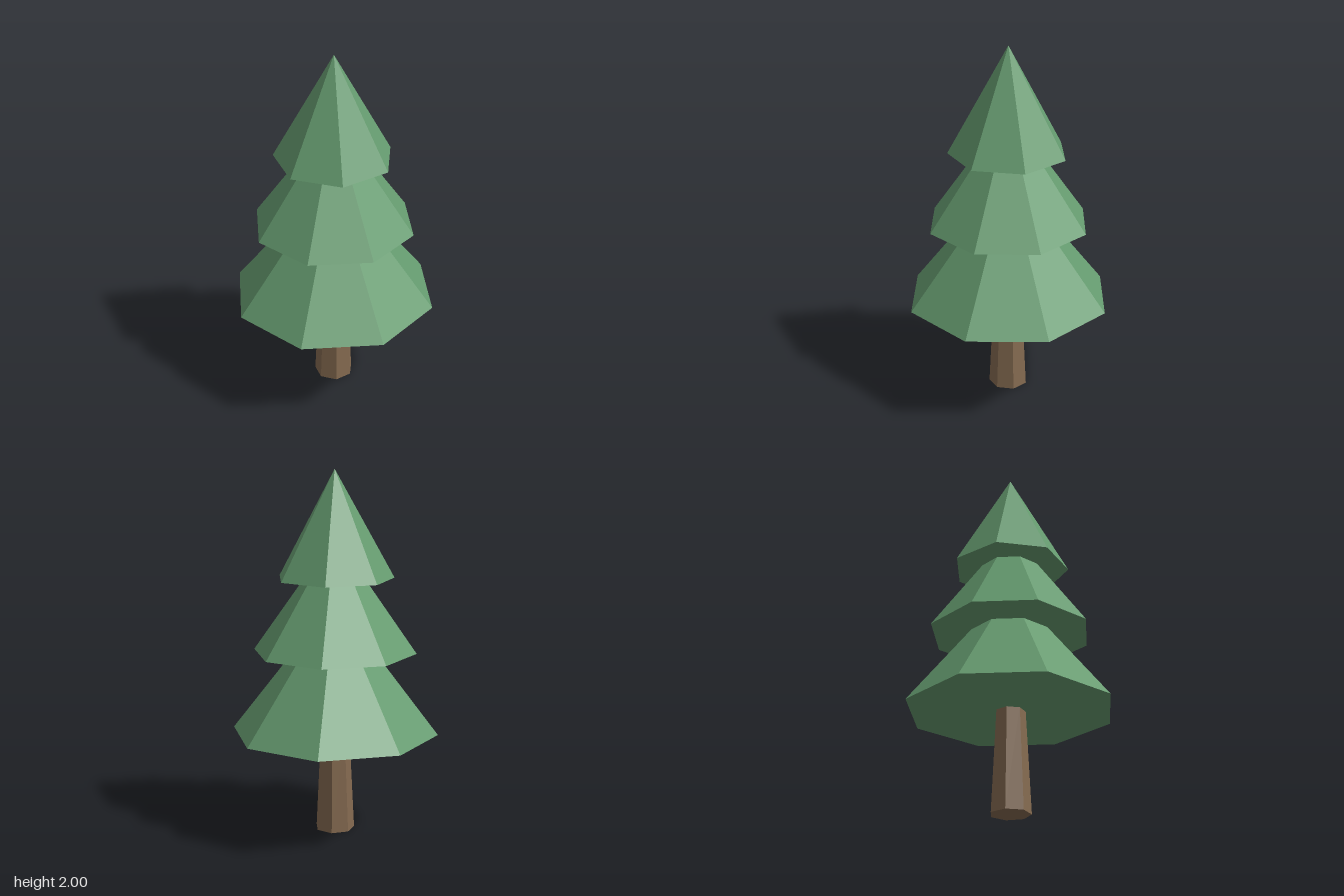
import * as THREE from 'three';

export function createModel() {
  const tree = new THREE.Group();
  tree.name = 'pineTree';

  const leafGreen = new THREE.MeshStandardMaterial({ color: 0x669c70 });
  leafGreen.name = 'leafGreen';
  const barkBrown = new THREE.MeshStandardMaterial({ color: 0x846a50 });
  barkBrown.name = 'barkBrown';

  // Faceted upright part with one corner pointing to the back
  function addPart(name, geometry, material, bottom) {
    const flat = geometry.toNonIndexed();
    flat.computeVertexNormals();
    const mesh = new THREE.Mesh(flat, material);
    mesh.name = name;
    mesh.position.y = bottom + geometry.parameters.height / 2;
    mesh.rotation.y = Math.PI;
    tree.add(mesh);
  }

  // Tapered seven-sided trunk
  addPart('trunk', new THREE.CylinderGeometry(0.081, 0.11, 0.57, 7), barkBrown, 0);

  // Overlapping foliage cones: name, radius, bottom, apex, sides
  const tiers = [
    ['lowerFoliage', 0.572, 0.562, 1.3, 8],
    ['middleFoliage', 0.449, 1.013, 1.65, 8],
    ['topFoliage', 0.325, 1.416, 2, 7],
  ];
  for (const [name, radius, bottom, apex, sides] of tiers) {
    addPart(name, new THREE.ConeGeometry(radius, apex - bottom, sides), leafGreen, bottom);
  }

  return tree;
}
